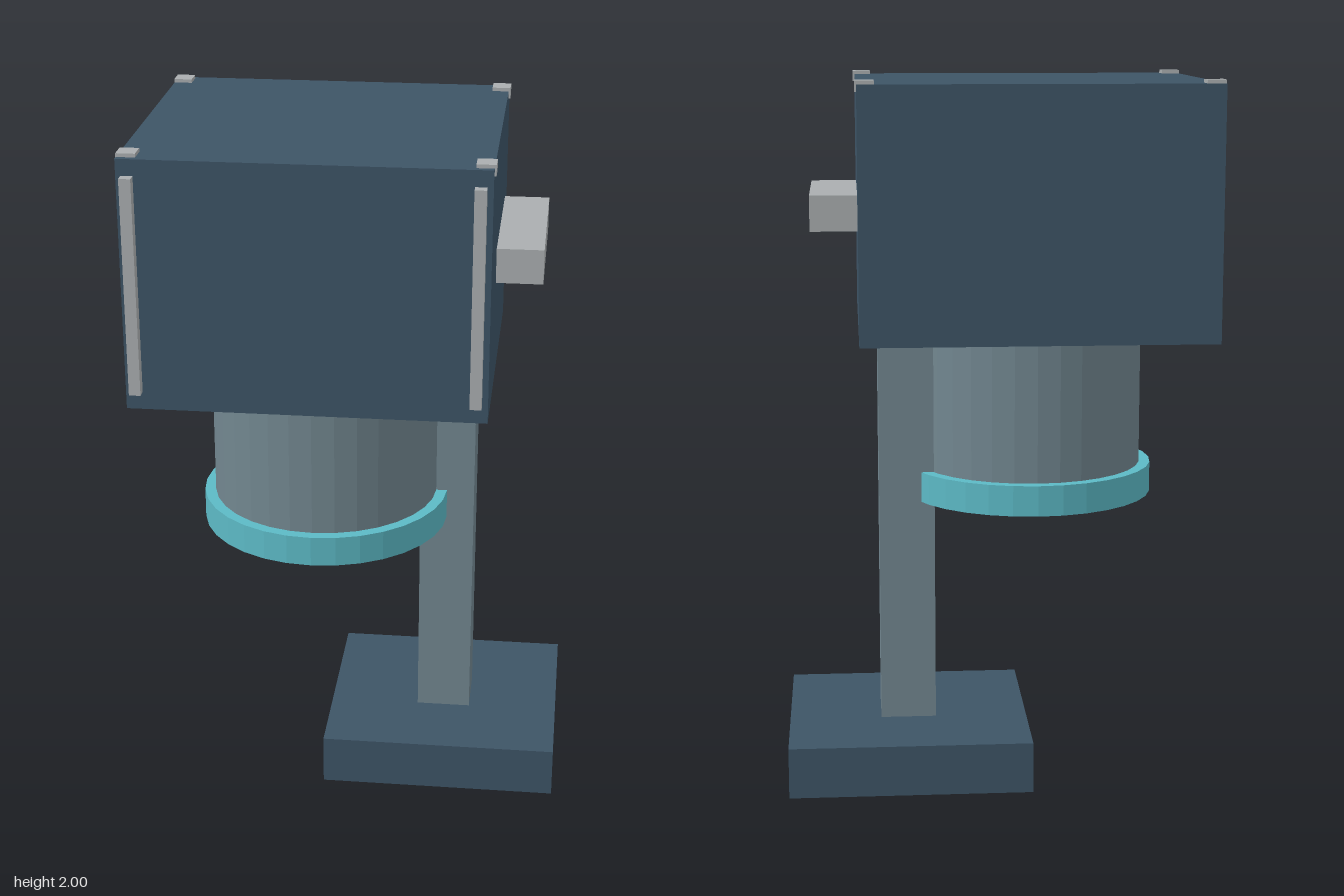
import * as THREE from 'three';

const material = (name, color) => {
  const m = new THREE.MeshStandardMaterial({ color });
  m.name = name;
  return m;
};

export function createModel() {
  const model = new THREE.Group();
  model.name = 'standWithHousing';

  const navy = material('slateBlue', 0x3d5466);
  const steel = material('greyBlue', 0x71868f);
  const teal = material('teal', 0x5cb9c5);
  const metal = material('lightGrey', 0xaaaeb0);
  const purple = material('purple', 0x7d4a90);

  const add = (name, geometry, mat, x = 0, y = 0, z = 0) => {
    const mesh = new THREE.Mesh(geometry, mat);
    mesh.name = name;
    mesh.position.set(x, y, z);
    model.add(mesh);
    return mesh;
  };
  // Box given by its limits on each axis
  const box = (name, mat, [x0, x1], [y0, y1], [z0, z1]) =>
    add(name, new THREE.BoxGeometry(x1 - x0, y1 - y0, z1 - z0), mat,
      (x0 + x1) / 2, (y0 + y1) / 2, (z0 + z1) / 2);

  // Foot and column; the column's end shows on the underside
  box('base', navy, [-0.09, 0.6], [0.002, 0.148], [-0.424, 0.23]);
  box('column', steel, [0.175, 0.334], [0, 1.3], [-0.176, -0.01]);

  // Housing with side handle
  box('housing', navy, [-0.596, 0.387], [1.29, 1.99], [-0.455, 0.426]);
  box('handle', metal, [0.38, 0.517], [1.592, 1.69], [-0.338, 0.15]);

  // Caps on the top corners
  for (const x of [-0.571, 0.366]) {
    for (const z of [-0.414, 0.381]) {
      box('cornerCap', metal, [x - 0.026, x + 0.026], [1.97, 2], [z - 0.028, z + 0.028]);
    }
  }
  // Upright strips on the front
  for (const x of [-0.566, 0.355]) {
    box('frontStrip', metal, [x - 0.016, x + 0.016], [1.34, 1.945], [0.42, 0.455]);
  }

  // Barrel under the housing
  const cx = -0.106, cz = -0.013;
  const barrel = new THREE.CylinderGeometry(0.328, 0.328, 0.43, 32).toNonIndexed();
  barrel.computeVertexNormals();
  add('barrel', barrel, steel, cx, 1.085, cz);

  // Open ring at the barrel's lower end
  const profile = [[0.275, 0.795], [0.36, 0.795], [0.36, 0.882], [0.275, 0.882], [0.275, 0.795]]
    .map(([r, y]) => new THREE.Vector2(r, y));
  const ring = new THREE.LatheGeometry(profile, 32).toNonIndexed();
  ring.computeVertexNormals();
  add('lightRing', ring, teal, cx, 0, cz);

  // Small lamps around the ring's underside
  const lampGeometry = new THREE.CylinderGeometry(0.025, 0.022, 0.02, 12);
  for (let i = 0; i < 12; i++) {
    const a = (i + 0.5) * Math.PI / 6;
    add('lamp', lampGeometry, purple, cx + 0.305 * Math.cos(a), 0.798, cz + 0.305 * Math.sin(a));
  }

  return model;
}
